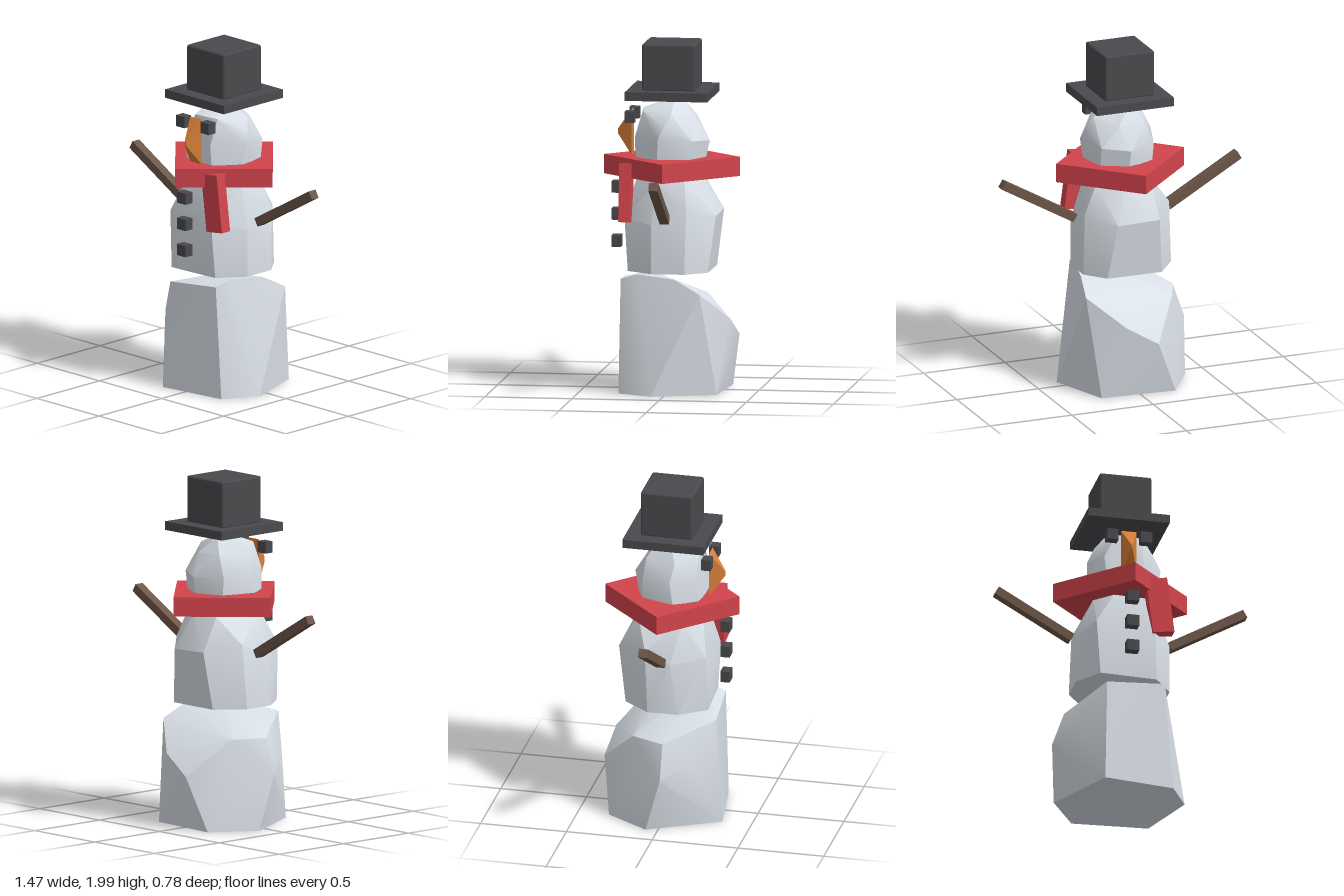
import * as THREE from 'three';
import { toCreasedNormals } from 'three/addons/utils/BufferGeometryUtils.js';
import { ConvexGeometry } from 'three/addons/geometries/ConvexGeometry.js';
import { RoundedBoxGeometry } from 'three/addons/geometries/RoundedBoxGeometry.js';

function material(name, color) {
  const m = new THREE.MeshStandardMaterial({ color });
  m.name = name;
  return m;
}

export function createModel() {
  const model = new THREE.Group();
  model.name = 'snowman';
  const snow = material('snow', 0xd9e0e7);
  const charcoal = material('charcoal', 0x4a4a4e);
  const red = material('scarfRed', 0xd2444c);
  const wood = material('wood', 0x6e5749);
  const orange = material('carrotOrange', 0xd98038);

  function add(name, geometry, mat, x = 0, y = 0, z = 0) {
    const mesh = new THREE.Mesh(geometry, mat);
    mesh.name = name;
    mesh.position.set(x, y, z);
    model.add(mesh);
    return mesh;
  }
  const box = (w, h, d) => new THREE.BoxGeometry(w, h, d);

  // Lumpy faceted boulder wrapped around a few corner points
  function boulder(name, corners) {
    const hull = new ConvexGeometry(corners.map((c) => new THREE.Vector3(...c)));
    return add(name, toCreasedNormals(hull, 0.5), snow);
  }

  // Base boulder: flat six-sided foot, leaning top
  boulder('lowerBody', [
    [-0.16, 0.01, 0.33], [0.25, 0.01, 0.27], [0.36, 0.01, 0.07],
    [0.23, 0.01, -0.29], [-0.21, 0.01, -0.32], [-0.37, 0.01, -0.07],
    [-0.4, 0.33, 0.02], [-0.29, 0.41, 0.18], [-0.33, 0.53, 0.02],
    [-0.085, 0.32, -0.375], [0.1, 0.43, -0.35], [-0.25, 0.53, -0.17],
    [-0.14, 0.63, 0.29], [0.2, 0.66, 0.265], [0.22, 0.69, 0.17],
    [0.1, 0.695, 0.1], [0.26, 0.67, -0.05], [0.29, 0.59, -0.2],
  ]);

  // Middle boulder
  boulder('middleBody', [
    [-0.17, 0.7, 0.25], [0.16, 0.7, 0.23], [0.27, 0.7, 0.08], [0.27, 0.7, -0.11],
    [0.17, 0.7, -0.23], [-0.16, 0.7, -0.235], [-0.28, 0.7, -0.08], [-0.28, 0.7, 0.1],
    [-0.28, 1.0, 0.05], [-0.19, 1.03, 0.24], [0.15, 1.0, 0.25], [0.27, 0.98, 0.08],
    [0.265, 1.06, -0.12], [0.12, 1.02, -0.27], [-0.13, 1.03, -0.28], [-0.26, 1.07, -0.1],
    [-0.18, 1.22, 0.1], [-0.08, 1.22, 0.2], [0.1, 1.22, 0.19], [0.2, 1.22, 0.06],
    [0.19, 1.22, -0.1], [0.05, 1.22, -0.19], [-0.12, 1.22, -0.17],
  ]);

  // Head
  boulder('head', [
    [-0.2, 1.24, 0.06], [-0.11, 1.24, 0.19], [0.1, 1.24, 0.19], [0.19, 1.24, 0.06],
    [0.17, 1.24, -0.11], [0.03, 1.24, -0.18], [-0.13, 1.24, -0.14],
    [-0.2, 1.48, 0.03], [-0.13, 1.47, 0.17], [0.09, 1.46, 0.2], [0.225, 1.46, 0.05],
    [0.17, 1.45, -0.14], [0.02, 1.44, -0.22], [-0.15, 1.44, -0.14],
    [-0.16, 1.57, 0.05], [-0.06, 1.61, 0.17], [0.1, 1.61, 0.15], [0.21, 1.53, 0.02],
    [0.17, 1.6, -0.02], [0.06, 1.57, -0.14], [-0.1, 1.57, -0.13],
    [-0.1, 1.65, 0.02], [0, 1.66, 0.05], [0.05, 1.66, -0.02], [-0.02, 1.66, -0.07],
  ]);

  // Top hat
  add('hatBrim', box(0.472, 0.05, 0.472), charcoal, 0, 1.71, 0);
  add('hatCrown', new RoundedBoxGeometry(0.302, 0.27, 0.302, 2, 0.012), charcoal, 0, 1.865, 0);

  // Square scarf turned corner-forward, with a hanging tail
  add('scarf', box(0.553, 0.11, 0.553), red, 0, 1.29, 0).rotation.y = Math.PI / 4;
  add('scarfTail', box(0.1, 0.335, 0.066), red, 0.172, 1.15, 0.238).rotation.z = 0.13;
  model.getObjectByName('scarfTail').scale.x = 1.25;

  // Carrot nose: blunt four-sided pyramid pointing forward
  const noseGeometry = new THREE.CylinderGeometry(0.07, 0.707, 1, 4, 1).toNonIndexed();
  noseGeometry.rotateY(Math.PI / 4).rotateX(Math.PI / 2).scale(0.09, 0.265, 0.085);
  noseGeometry.computeVertexNormals();
  add('nose', noseGeometry, orange, 0, 1.48, 0.267);

  // Buttons
  for (const y of [0.852, 1.007, 1.162]) add('button', box(0.07, 0.066, 0.054), charcoal, 0, y, 0.315);

  // Eyes and stick arms, mirrored
  for (const side of [1, -1]) {
    const label = side > 0 ? 'left' : 'right';
    add(label + 'Eye', box(0.066, 0.066, 0.054), charcoal, side * 0.098, 1.576, 0.226);
    add(label + 'Arm', box(0.505, 0.05, 0.054), wood, side * 0.503, 1.138, 0).rotation.z = side * 0.52;
  }
  return model;
}
